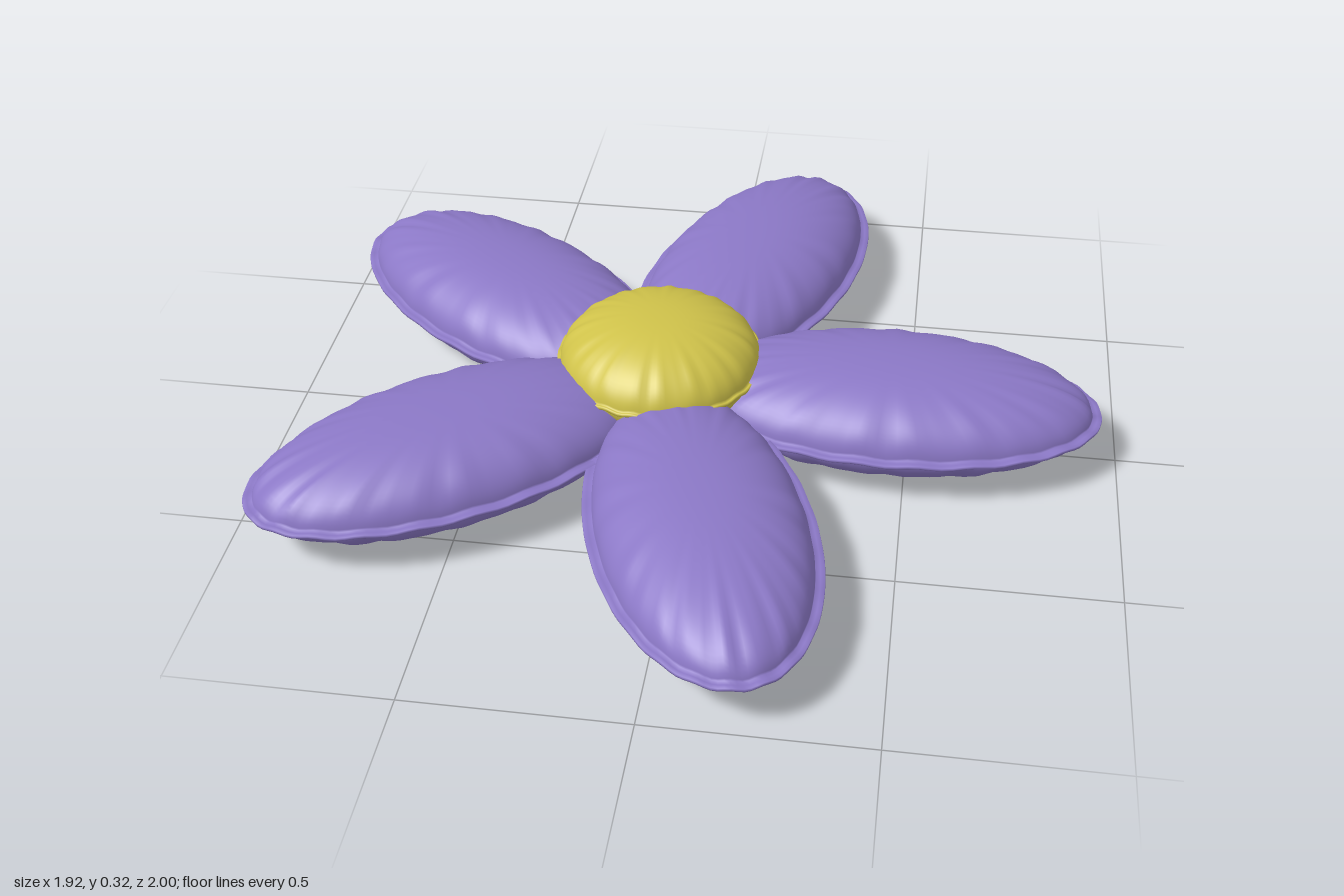
import * as THREE from 'three';
import { mergeVertices } from 'three/addons/utils/BufferGeometryUtils.js';

// Stitched pillow: elliptical, puffed on both sides, with a thin wavy seam flange.
// a, b: outer half-axes in x and z; h: half height; f: flange width
function pillow(a, b, h, f, phase) {
  const pts = [];
  const rings = 22, edge = 0.004;
  const puff = (r) => Math.sqrt(Math.max(0, 1 - Math.pow(r, 2.3)));
  // r in 0..1 is the cushion, r in 1..2 is the flange
  for (let i = 0; i <= rings; i++) {
    const r = Math.sin((i / rings) * Math.PI / 2);
    pts.push(new THREE.Vector2(r, Math.max(edge, h * puff(r))));
  }
  pts.push(new THREE.Vector2(1.5, edge), new THREE.Vector2(1.95, edge));
  const profile = pts.map((p) => new THREE.Vector2(p.x, -p.y));
  profile.push(new THREE.Vector2(2, 0), ...pts.slice().reverse());

  let geo = new THREE.LatheGeometry(profile, 120);
  const pos = geo.attributes.position;
  for (let i = 0; i < pos.count; i++) {
    const x = pos.getX(i), y = pos.getY(i), z = pos.getZ(i);
    const r = Math.hypot(x, z), t = Math.atan2(z, x);
    const inner = Math.min(r, 1), outer = Math.max(0, r - 1) * f;
    // puckers gather towards the seam
    const wave = Math.sin(19 * t + phase) + 0.7 * Math.sin(31 * t + 2 * phase);
    const pucker = r <= 1 ? 1 + 0.07 * Math.pow(inner, 5) * wave : 1;
    const ripple = 0.0025 * Math.pow(inner, 8) * Math.sin(23 * t + phase);
    pos.setXYZ(i,
      Math.cos(t) * ((a - f) * inner + outer),
      y * pucker + ripple,
      Math.sin(t) * ((b - f) * inner + outer));
  }
  geo.deleteAttribute('uv');
  geo.deleteAttribute('normal');
  geo = mergeVertices(geo, 1e-5);
  geo.computeVertexNormals();
  return geo;
}

export function createModel() {
  const model = new THREE.Group();
  model.name = 'flowerCushion';
  const purple = new THREE.MeshStandardMaterial({ color: 0x8b78c6 });
  const yellow = new THREE.MeshStandardMaterial({ color: 0xcfc24a });

  const flower = new THREE.Group();
  flower.name = 'flower';
  flower.position.x = -0.1;
  model.add(flower);

  // Five petals around the centre, the two rear ones set slightly closer in
  [0.557, 0.548, 0.537, 0.537, 0.548].forEach((reach, i) => {
    const angle = (i * Math.PI * 2) / 5;
    const petal = new THREE.Mesh(pillow(0.497, 0.255, 0.123, 0.022, i * 1.3), purple);
    petal.name = 'petal' + (i + 1);
    petal.position.set(Math.cos(angle) * reach, 0.125, -Math.sin(angle) * reach);
    petal.rotation.y = angle;
    flower.add(petal);
  });

  // Round centre cushion
  const centre = new THREE.Mesh(pillow(0.247, 0.247, 0.12, 0.008, 0.5), yellow);
  centre.name = 'centreCushion';
  centre.position.y = 0.2;
  flower.add(centre);

  return model;
}
